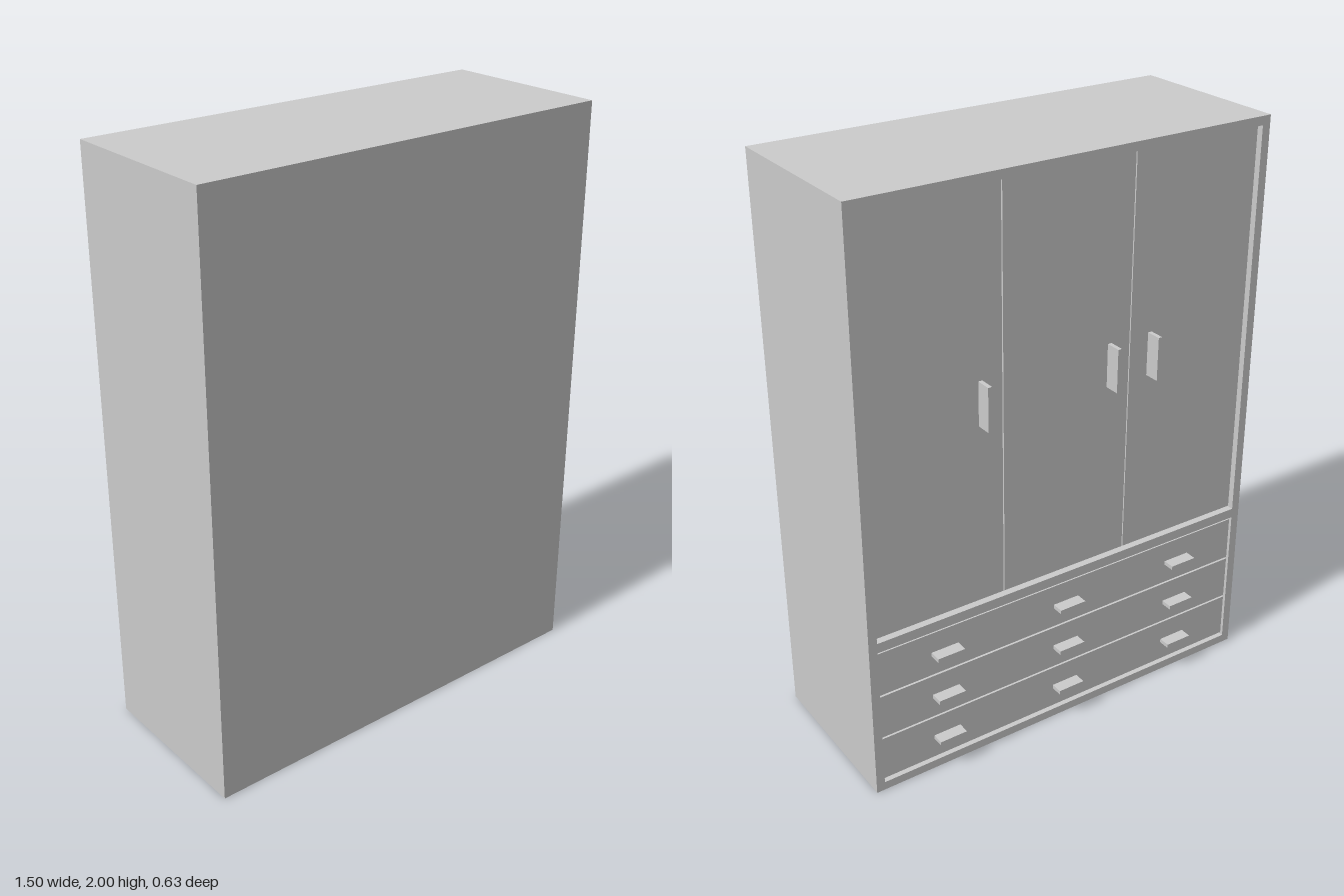
import * as THREE from 'three';

export function createModel() {
  const model = new THREE.Group();
  const material = new THREE.MeshStandardMaterial({ color: 0xcccccc });

  // Box given by its min and max corners
  function box(name, [x0, y0, z0], [x1, y1, z1], parent = model) {
    const mesh = new THREE.Mesh(new THREE.BoxGeometry(x1 - x0, y1 - y0, z1 - z0), material);
    mesh.position.set((x0 + x1) / 2, (y0 + y1) / 2, (z0 + z1) / 2);
    mesh.name = name;
    parent.add(mesh);
    return mesh;
  }

  const W = 0.75, H = 2, T = 0.03;      // half width, height, board thickness
  const open = -0.283, closed = 0.315;  // door side and plain side
  const inner = W - T;
  const doorFace = open + 0.02, drawerFace = open + 0.008;

  // Carcass
  const carcass = new THREE.Group();
  carcass.name = 'carcass';
  model.add(carcass);
  for (const s of [-1, 1]) {
    const a = s * inner, b = s * W;
    box('sidePanel', [Math.min(a, b), 0, open], [Math.max(a, b), H, closed], carcass);
  }
  box('topPanel', [-inner, H - T, open], [inner, H, closed], carcass);
  box('bottomPanel', [-inner, 0, open], [inner, T, closed], carcass);
  box('plainPanel', [-inner, T, closed - T], [inner, H - T, closed], carcass);
  box('dividerShelf', [-inner, 0.545, open], [inner, 0.58, closed - T], carcass);

  // Three doors, each with an upright handle
  const doorWidth = (2 * inner) / 3;
  const handleX = [-0.32, -0.16, 0.32];
  for (let i = 0; i < 3; i++) {
    const door = new THREE.Group();
    door.name = 'door';
    model.add(door);
    const x = -inner + i * doorWidth;
    box('doorPanel', [x + 0.002, 0.584, doorFace], [x + doorWidth - 0.002, H - T - 0.002, doorFace + 0.03], door);
    const hx = handleX[i];
    box('doorHandle', [hx - 0.007, 1.21, -0.317], [hx + 0.007, 1.36, doorFace + 0.005], door);
  }

  // Three full-width drawers, each with three bar handles
  const pitch = 0.167;
  for (let row = 0; row < 3; row++) {
    const drawer = new THREE.Group();
    drawer.name = 'drawer';
    model.add(drawer);
    const y = 0.12 + row * pitch;
    box('drawerFront', [-inner + 0.003, y - 0.08, drawerFace], [inner - 0.003, y + 0.08, drawerFace + 0.03], drawer);
    for (const hx of [-0.475, 0, 0.475]) {
      box('drawerHandle', [hx - 0.05, y - 0.007, -0.317], [hx + 0.05, y + 0.007, drawerFace + 0.005], drawer);
    }
  }

  return model;
}
